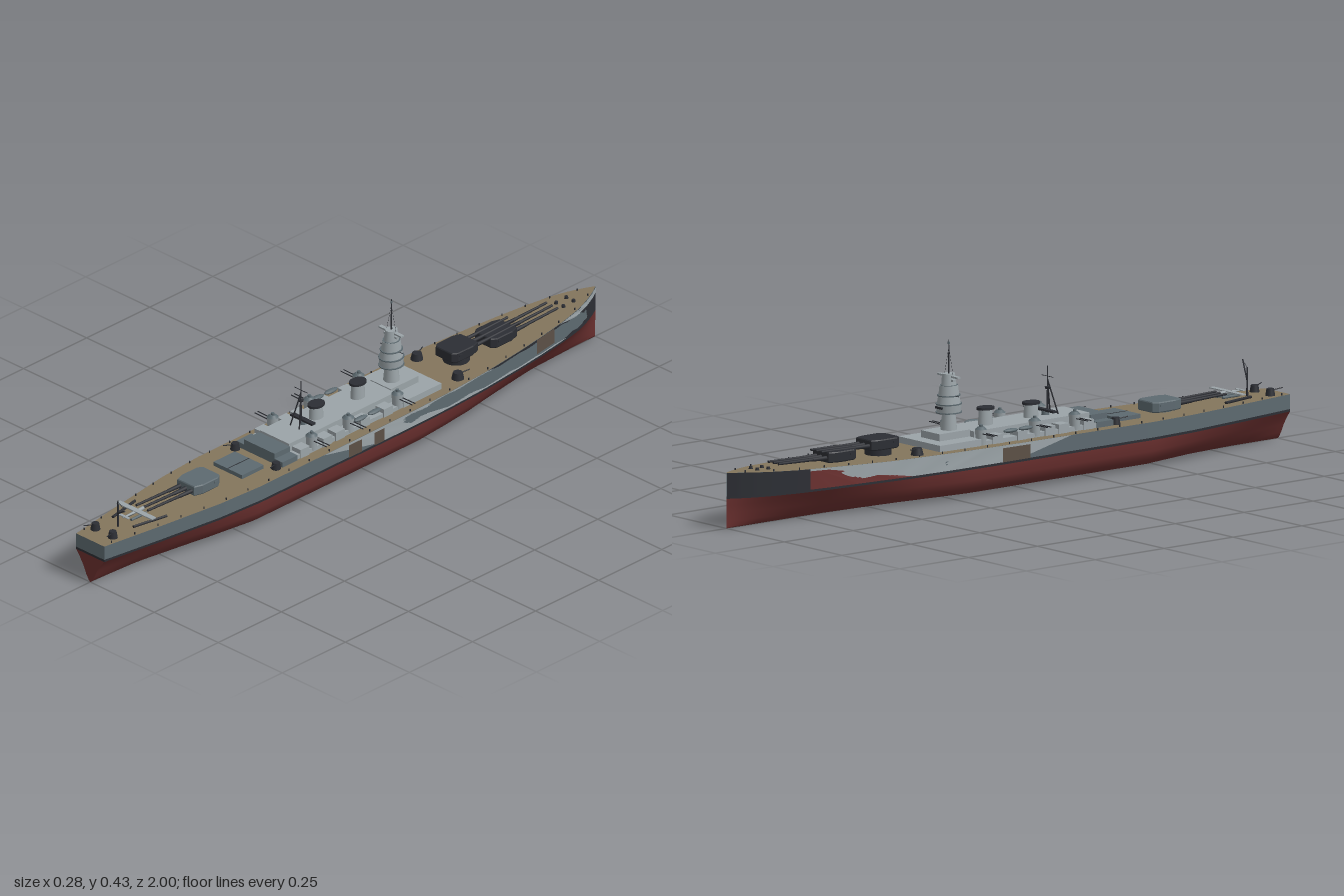
import * as THREE from 'three';

const mat = (name, color, side = THREE.FrontSide) => {
  const m = new THREE.MeshStandardMaterial({ color, side });
  m.name = name;
  return m;
};

export function createModel() {
  const ship = new THREE.Group();
  ship.name = 'warship';
  const red = mat('hullRed', 0x6b302f), slate = mat('slateGrey', 0x5d6a70), light = mat('lightGrey', 0x9ba4a8);
  const dark = mat('darkGrey', 0x2c2e34), brown = mat('camoBrown', 0x5c5046), wood = mat('deckWood', 0x83755c);

  // ---- helpers ----
  const add = (name, geo, m, x = 0, y = 0, z = 0, parent = ship) => {
    const mesh = new THREE.Mesh(geo, m);
    mesh.name = name;
    mesh.position.set(x, y, z);
    parent.add(mesh);
    return mesh;
  };
  // box given by half width, bottom, top and z range
  const block = (name, m, hw, y0, y1, z0, z1, x = 0) =>
    add(name, new THREE.BoxGeometry(hw * 2, y1 - y0, z1 - z0), m, x, (y0 + y1) / 2, (z0 + z1) / 2);
  const drum = (name, m, rTop, rBot, y0, y1, x, z, n = 20) =>
    add(name, new THREE.CylinderGeometry(rTop, rBot, y1 - y0, n), m, x, (y0 + y1) / 2, z);
  const rod = (name, m, a, b, r, r2 = r) => {
    const A = new THREE.Vector3(...a), B = new THREE.Vector3(...b), d = B.clone().sub(A);
    const mesh = add(name, new THREE.CylinderGeometry(r2, r, d.length(), 8), m);
    mesh.position.copy(A).add(B).multiplyScalar(0.5);
    mesh.quaternion.setFromUnitVectors(new THREE.Vector3(0, 1, 0), d.normalize());
    return mesh;
  };
  const both = f => [1, -1].forEach(f);
  const lerp = THREE.MathUtils.lerp;
  const table = (t, z) => {
    let i = 1;
    while (i < t.length - 1 && z > t[i][0]) i++;
    const [a, b] = [t[i - 1], t[i]];
    return lerp(a[1], b[1], THREE.MathUtils.clamp((z - a[0]) / (b[0] - a[0]), 0, 1));
  };
  const surface = rows => {
    const n = rows[0].length, idx = [];
    for (let i = 0; i < rows.length - 1; i++) for (let j = 0; j < n - 1; j++) {
      const a = i * n + j, b = a + n;
      idx.push(a, b, b + 1, a, b + 1, a + 1);
    }
    const g = new THREE.BufferGeometry();
    g.setAttribute('position', new THREE.Float32BufferAttribute(rows.flat(2), 3));
    g.setIndex(idx);
    g.computeVertexNormals();
    return g;
  };

  // ---- hull, lofted from bow (-z) to transom (+z) ----
  const WL = 0.084, BOOT = 0.091;
  const widths = [[-1, 0.001], [-0.97, 0.018], [-0.93, 0.036], [-0.88, 0.053], [-0.8, 0.07], [-0.7, 0.085],
    [-0.6, 0.097], [-0.45, 0.111], [-0.3, 0.119], [-0.15, 0.122], [0.45, 0.122], [0.6, 0.112], [0.8, 0.085], [1, 0.055]];
  const sheer = [[-1, 0.158], [-0.8, 0.15], [-0.5, 0.142], [0, 0.137], [1, 0.133]];
  const fullness = [[-1, 0], [-0.7, 0.25], [-0.4, 0.8], [-0.2, 1], [0.45, 1], [0.75, 0.5], [1, 0]];
  const full = [[0, 0], [0.4, 0.005], [0.7, 0.01], [0.88, 0.026], [0.98, 0.052], [1, WL]];
  const vee = [[0, 0], [0.1, 0.004], [0.28, 0.02], [0.5, 0.045], [0.75, 0.067], [1, WL]];
  const W = z => table(widths, z), D = z => table(sheer, z);
  const zs = Array.from({ length: 81 }, (_, i) => -1 + i / 40);
  const section = z => {
    const t = table(fullness, z);
    const half = full.map((p, k) => [lerp(vee[k][0], p[0], t) * W(z), lerp(vee[k][1], p[1], t)]);
    return [...half.slice().reverse().map(p => [p[0], p[1], z]), ...half.slice(1).map(p => [-p[0], p[1], z])];
  };
  add('lowerHull', surface(zs.map(section)), red);
  const strake = (s, f0, f1) => surface(zs.map(z => {
    const r = [[s * W(z), f1(z), z], [s * W(z), f0(z), z]];
    return s > 0 ? r : r.reverse();
  }));
  both(s => {
    add('bootStripe', strake(s, () => WL, () => BOOT), dark);
    add('hullSide', strake(s, () => BOOT, D), slate);
  });
  add('mainDeck', surface(zs.map(z => [[-W(z), D(z), z], [W(z), D(z), z]])), wood);
  const plate = pts => new THREE.ShapeGeometry(new THREE.Shape(pts.map(p => new THREE.Vector2(p[0], p[1]))));
  const w1 = W(1), rect = (a, b) => plate([[-w1, a], [w1, a], [w1, b], [-w1, b]]);
  add('lowerTransom', plate(section(1)), red, 0, 0, 1);
  add('transomStripe', rect(WL, BOOT), dark, 0, 0, 1);
  add('transom', rect(BOOT, D(1)), slate, 0, 0, 1);

  // ---- camouflage plates: z range at the bottom, z range at the top, height range 0..1 ----
  const camo = (s, m, b, t, v0 = 0, v1 = 1, lift = 0.001) => {
    const rows = Array.from({ length: 41 }, (_, i) => {
      const r = [[v1, t], [v0, b]].map(([v, q]) => {
        const z = lerp(q[0], q[1], i / 40);
        return [s * (W(z) + lift), lerp(BOOT, D(z), v), z];
      });
      return s > 0 ? r : r.reverse();
    });
    add('camouflagePlate', surface(rows), m);
  };
  camo(1, light, [-0.85, -0.02], [-0.48, 0.2]);
  camo(1, dark, [-1, -0.82], [-1, -0.46], 0, 1, 0.0015);
  camo(1, brown, [-0.76, -0.68], [-0.76, -0.68], 0.2, 1, 0.002);
  camo(1, light, [-1, -0.86], [-1, -0.78], 0.75, 1, 0.002);
  camo(1, brown, [0.05, 0.1], [0.05, 0.1], 0, 0.85, 0.002);
  camo(1, brown, [-0.04, 0], [-0.04, 0], 0, 0.85, 0.002);
  camo(-1, light, [-0.76, -0.05], [-0.76, 0.15]);
  camo(-1, dark, [-1, -0.76], [-1, -0.76], 0, 1, 0.0015);
  camo(-1, red, [-0.76, -0.42], [-0.76, -0.7], 0, 0.9, 0.002);
  camo(-1, brown, [-0.1, 0], [-0.1, 0], 0, 0.85, 0.002);

  // ---- superstructure ----
  block('forwardDeckhouse', light, 0.09, 0.13, 0.158, -0.3, -0.15);
  block('longDeckhouse', light, 0.057, 0.13, 0.175, -0.15, 0.27);
  block('aftDeckhouse', slate, 0.06, 0.13, 0.168, 0.27, 0.33);
  block('bridgeBase', light, 0.04, 0.158, 0.178, -0.26, -0.15);
  block('aircraftHatch', slate, 0.056, 0.13, 0.147, 0.37, 0.455);
  block('hatchSeam', dark, 0.001, 0.147, 0.148, 0.37, 0.455);
  both(s => {
    block('sideGallery', light, 0.015, 0.13, 0.15, -0.15, 0.27, s * 0.072);
    block('aftGallery', slate, 0.016, 0.13, 0.152, 0.27, 0.33, s * 0.074);
    [-0.09, 0.0, 0.1, 0.15, 0.24].forEach(z => block('casemate', light, 0.017, 0.13, 0.163, z - 0.018, z + 0.018, s * 0.073));
    [-0.04, 0.015].forEach(z => {
      const boat = add('boat', new THREE.SphereGeometry(0.01, 12, 8), slate, s * 0.085, 0.168, z);
      boat.scale.set(0.9, 0.6, 2.6);
    });
    // secondary twin guns
    [-0.14, 0.055, 0.2].forEach(z => {
      drum('secondaryMount', light, 0.017, 0.014, 0.14, 0.183, s * 0.076, z);
      drum('secondaryRoof', slate, 0.009, 0.017, 0.183, 0.19, s * 0.076, z);
      drum('sightHood', slate, 0.005, 0.005, 0.19, 0.196, s * 0.076, z, 10);
      both(k => rod('secondaryBarrel', dark, [s * 0.085, 0.172, z + k * 0.006], [s * 0.14, 0.173, z + k * 0.006], 0.0015));
    });
    // small deck guns
    [[0.08, -0.375, 0.018], [0.08, 0.345, 0.014], [0.034, 0.945, 0.014]].forEach(([x, z, r]) => {
      drum('deckGunShield', dark, r * 0.75, r, D(z), D(z) + 0.02, s * x, z);
      rod('deckGunBarrel', dark, [s * x, D(z) + 0.014, z], [s * (x + 0.012), D(z) + 0.02, z + Math.sign(z) * 0.035], 0.0015);
    });
  });

  // ---- funnels with dark caps ----
  [[-0.06, 0.218], [0.105, 0.212]].forEach(([z, top]) => {
    const body = drum('funnel', light, 0.016, 0.018, 0.17, top, 0, z);
    const cap = drum('funnelCap', dark, 0.021, 0.021, top, top + 0.007, 0, z);
    body.scale.z = cap.scale.z = 1.3;
  });
  block('searchlightPlatform', dark, 0.042, 0.185, 0.191, 0.15, 0.165);
  drum('searchlightPost', slate, 0.01, 0.012, 0.17, 0.186, 0, 0.157, 10);

  // ---- bridge tower ----
  const T = -0.193;
  drum('towerTrunk', light, 0.018, 0.024, 0.17, 0.232, 0, T);
  [[0.033, 0.031, 0.228, 0.252], [0.027, 0.031, 0.252, 0.276], [0.024, 0.027, 0.276, 0.304],
    [0.016, 0.02, 0.304, 0.337]].forEach(([a, b, y0, y1]) => {
    drum('towerTier', light, a, b, y0, y1, 0, T, 16).scale.z = 1.15;
    drum('towerPlatform', slate, b + 0.004, b + 0.004, y0 - 0.002, y0 + 0.001, 0, T, 16).scale.z = 1.1;
  });
  block('towerWindows', dark, 0.014, 0.24, 0.246, T - 0.0385, T - 0.03);
  block('rangefinder', light, 0.044, 0.327, 0.332, T - 0.006, T + 0.006);
  block('upperDirector', light, 0.025, 0.316, 0.322, T - 0.006, T + 0.006);
  rod('signalYard', dark, [-0.044, 0.276, T], [0.044, 0.276, T], 0.001);
  rod('foremast', dark, [0, 0.337, T], [0, 0.432, T], 0.0025, 0.001);
  drum('mastheadLight', slate, 0.003, 0.003, 0.42, 0.426, 0, T, 8);
  both(s => rod('stay', dark, [0, 0.412, T], [s * 0.018, 0.335, T], 0.0004));

  // ---- tripod mainmast ----
  rod('mainmast', dark, [0, 0.17, 0.165], [0, 0.312, 0.165], 0.003, 0.001);
  both(s => rod('mainmastLeg', dark, [s * 0.018, 0.172, 0.19], [0, 0.275, 0.165], 0.002));
  rod('mainmastYard', dark, [-0.025, 0.283, 0.165], [0.025, 0.283, 0.165], 0.001);
  drum('mainmastTop', dark, 0.008, 0.006, 0.247, 0.253, 0, 0.165, 10);

  // ---- main triple turrets; d is the firing direction along z ----
  const turret = (z, y, d, m) => {
    drum('barbette', m, 0.038, 0.038, 0.13, y, 0, z, 28);
    const s = new THREE.Shape([[-0.03, -0.048], [0.03, -0.048], [0.04, -0.034], [0.04, 0.025], [0.032, 0.05],
      [-0.032, 0.05], [-0.04, 0.025], [-0.04, -0.034]].map(p => new THREE.Vector2(...p)));
    const house = add('turretHouse', new THREE.ExtrudeGeometry(s, { depth: 0.024, bevelEnabled: true,
      bevelSize: 0.002, bevelThickness: 0.003, bevelSegments: 1 }), m, 0, y + 0.003, z);
    house.rotation.set(-Math.PI / 2, 0, d < 0 ? 0 : Math.PI);
    block('turretRangefinder', m, 0.044, y + 0.016, y + 0.022, z - d * 0.025 - 0.005, z - d * 0.025 + 0.005);
    [-0.022, 0, 0.022].forEach(x => {
      rod('gunSleeve', dark, [x, y + 0.013, z + d * 0.045], [x, y + 0.014, z + d * 0.1], 0.0065, 0.005);
      rod('gunBarrel', dark, [x, y + 0.014, z + d * 0.09], [x, y + 0.018, z + d * 0.225], 0.0045, 0.0035);
    });
  };
  turret(-0.605, 0.146, -1, dark);
  turret(-0.45, 0.16, -1, dark);
  turret(0.57, 0.137, 1, slate);

  // ---- stern: catapults, floatplane and crane ----
  both(s => rod('catapult', dark, [s * 0.062, 0.14, 0.76], [s * 0.04, 0.14, 0.87], 0.004));
  const fuselage = rod('planeFuselage', light, [0, 0.153, 0.79], [0, 0.153, 0.87], 0.006, 0.002);
  fuselage.name = 'planeFuselage';
  block('planeWing', light, 0.07, 0.155, 0.158, 0.81, 0.827);
  block('planeTail', light, 0.018, 0.154, 0.156, 0.86, 0.869);
  both(s => rod('planeFloat', slate, [s * 0.012, 0.143, 0.79], [s * 0.012, 0.143, 0.85], 0.004));
  rod('cranePost', dark, [0, 0.133, 0.89], [0, 0.215, 0.89], 0.003, 0.002);
  rod('craneBoom', dark, [0, 0.175, 0.89], [0.067, 0.222, 0.93], 0.002);
  rod('craneCable', dark, [0, 0.213, 0.89], [0.067, 0.222, 0.93], 0.0005);

  // ---- bollards along the deck edge ----
  for (let z = -0.95; z < 0.98; z += 0.08) both(s =>
    drum('bollard', dark, 0.002, 0.002, D(z) - 0.002, D(z) + 0.006, s * (W(z) - 0.006), z, 6));
  both(s => [-0.9, -0.86].forEach(z => drum('capstan', dark, 0.005, 0.006, D(z) - 0.001, D(z) + 0.007, s * 0.014, z, 10)));

  return ship;
}
